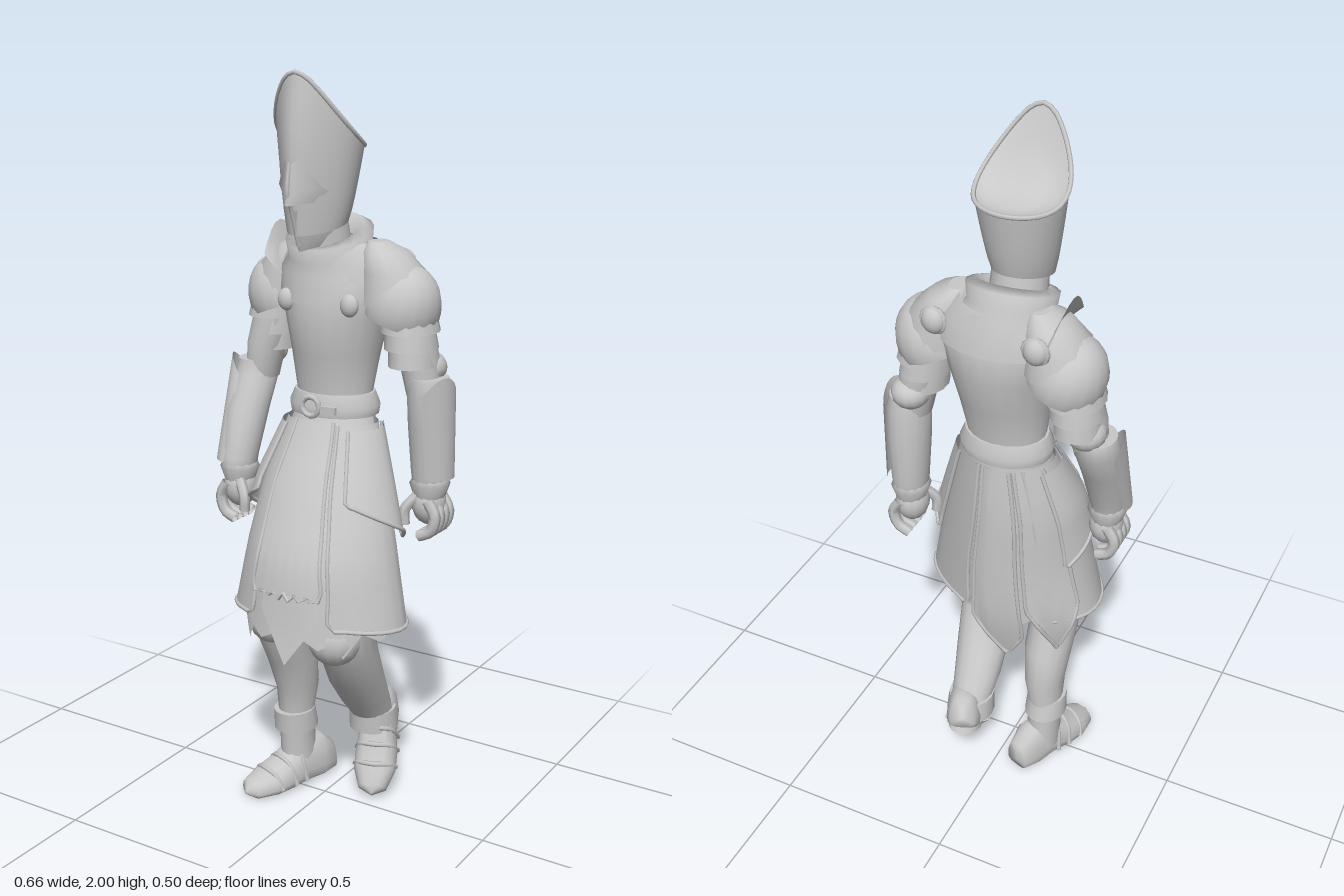
import * as THREE from 'three';

const steel = new THREE.MeshStandardMaterial({ color: 0xc8c8c8, side: THREE.DoubleSide });
steel.name = 'pale steel';
const { sin, cos, PI, abs, pow, max } = Math;
const lerp = THREE.MathUtils.lerp;

// grid surface from fn(u, v) -> [x, y, z]; closed joins the u ends
function sheet(fn, nu, nv, closed = false) {
  const pos = [], idx = [], cols = closed ? nu : nu + 1;
  for (let j = 0; j <= nv; j++)
    for (let i = 0; i < cols; i++) pos.push(...fn(i / nu, j / nv));
  for (let j = 0; j < nv; j++)
    for (let i = 0; i < nu; i++) {
      const k = (i + 1) % cols, a = j * cols + i, b = j * cols + k;
      idx.push(a, b, b + cols, a, b + cols, a + cols);
    }
  const g = new THREE.BufferGeometry();
  g.setAttribute('position', new THREE.Float32BufferAttribute(pos, 3));
  g.setIndex(idx);
  g.computeVertexNormals();
  return g;
}

// stacked ellipses [y, cx, cz, rx, rz], bottom to top; tilt lowers the front
function loft(rings, n = 16, caps = true, tilt = 0) {
  const end = r => [r[0], r[1], r[2], 0, 0];
  const f = rings[0], l = rings[rings.length - 1];
  const all = caps ? [end(f), f, ...rings, l, end(l)] : rings;
  return sheet((u, v) => {
    const [y, cx, cz, rx, rz] = all[Math.round(v * (all.length - 1))], a = u * 2 * PI;
    return [cx + rx * sin(a), y - tilt * cos(a), cz + rz * cos(a)];
  }, n, all.length - 1, true);
}

const tube = (pts, r, closed = false, n = 24) => new THREE.TubeGeometry(new THREE.CatmullRomCurve3(
  pts.map(p => new THREE.Vector3(...p)), closed, 'centripetal'), n, r, 6, closed);

// skirt surface, flaring downward and drawn in at the left rear
const skirtRings = [
  [0.43, 0.01, 0.06, 0.225, 0.175], [0.58, 0.015, 0.03, 0.25, 0.185], [0.76, 0.015, 0.02, 0.215, 0.18],
  [0.95, 0, -0.02, 0.175, 0.142], [1.08, 0, -0.05, 0.135, 0.105], [1.14, 0, -0.06, 0.115, 0.09]];
function skirtAt(a, y, off = 0) {
  let i = 0;
  while (i < skirtRings.length - 2 && y > skirtRings[i + 1][0]) i++;
  const p = skirtRings[i], q = skirtRings[i + 1], t = (y - p[0]) / (q[0] - p[0]);
  const [cx, cz, rx, rz] = [1, 2, 3, 4].map(k => lerp(p[k], q[k], t));
  const s = sin(a), c = cos(a), k = 1 - (s > 0 && c < 0 ? -0.3 * s * c : 0);
  return [cx + (rx * k + off) * s, y, cz + (rz * k + off) * c];
}

export function createModel() {
  const model = new THREE.Group();
  const add = (name, geo, x = 0, y = 0, z = 0, parent = model) => {
    const m = new THREE.Mesh(geo, steel);
    m.name = name;
    m.position.set(x, y, z);
    parent.add(m);
    return m;
  };
  const ball = (name, x, y, z, sx, sy, sz) => {
    const m = add(name, new THREE.SphereGeometry(1, 14, 10), x, y, z);
    m.scale.set(sx, sy, sz);
    return m;
  };

  // tall helmet with a keeled front, flaring up to a slanted crown with a peak
  const hx = -0.025, crownY = c => 1.81 + 0.185 * pow((c + 1) / 2, 2.8);
  const pinch = c => 1 - 0.2 * pow(max(0, c), 2);
  const crown = (a, s, drop) => {
    const c = s * cos(a);
    return [hx + 0.115 * s * sin(a) * pinch(c), crownY(c) - drop, -0.015 + 0.115 * c];
  };
  add('helmet', sheet((u, v) => {
    const a = u * 2 * PI, c = cos(a), [x, y, z] = crown(a, 1, 0), w = pow(v, 0.8);
    return [lerp(hx + 0.077 * sin(a) * pinch(c), x, w), lerp(1.615 - 0.02 * c, y, v),
      lerp(-0.005 + 0.09 * c + 0.015 * pow(max(0, c), 3), z, w) + 0.02 * sin(v * PI) * pow(max(0, c), 3)];
  }, 28, 6, true));
  add('helmetCrown', sheet((u, v) => crown(u * 2 * PI, 1 - v, v > 0 ? 0.015 : 0), 24, 4, true));
  add('helmetRim', tube(Array.from({ length: 20 }, (_, i) => crown(i * PI / 10, 1, 0)), 0.006, true, 40));

  // brow plate and pointed face guard; rows are [y, half width, side z, ridge z]
  const plate = rows => sheet((u, v) => {
    const [y, w, zs, zr] = rows[Math.round(v * (rows.length - 1))], k = u * 2 - 1;
    return [hx + w * k, y - 0.012 * (1 - abs(k)), lerp(zr, zs, pow(abs(k), 1.3))];
  }, 8, rows.length - 1);
  add('browPlate', plate([[1.685, 0.08, 0.02, 0.142], [1.72, 0.064, 0.076, 0.138], [1.785, 0.02, 0.118, 0.13]]));
  add('faceGuard', plate([[1.565, 0.035, 0.03, 0.08], [1.61, 0.064, 0.015, 0.1], [1.67, 0.076, 0.01, 0.118]]));
  add('visorRidge', tube([[hx, 1.57, 0.085], [hx, 1.66, 0.117], [hx, 1.7, 0.135], [hx, 1.78, 0.126]], 0.006));

  // neck, layered collar and shoulder mantle
  add('neck', loft([[1.44, -0.02, -0.05, 0.08, 0.08], [1.64, -0.025, -0.02, 0.07, 0.07]]));
  add('collar', loft([[1.45, -0.01, -0.07, 0.15, 0.13], [1.52, -0.015, -0.065, 0.14, 0.12],
    [1.55, -0.02, -0.06, 0.112, 0.105], [1.59, -0.02, -0.055, 0.118, 0.108], [1.6, -0.02, -0.055, 0.09, 0.085],
    [1.55, -0.02, -0.055, 0.07, 0.07]], 18, false, 0.035));
  add('mantle', loft([[1.46, 0, -0.08, 0.172, 0.122], [1.52, 0, -0.08, 0.165, 0.112], [1.57, -0.01, -0.075, 0.115, 0.1]], 20, false));

  // cuirass with a rounded chest and narrow waist
  add('cuirass', loft([[1.1, -0.005, -0.06, 0.115, 0.09], [1.17, -0.005, -0.06, 0.106, 0.085],
    [1.28, -0.003, -0.064, 0.122, 0.11], [1.38, 0, -0.067, 0.143, 0.131], [1.46, 0, -0.077, 0.165, 0.124],
    [1.53, 0, -0.08, 0.155, 0.1], [1.57, -0.01, -0.075, 0.09, 0.08]], 20));
  add('belt', loft([[1.115, -0.005, -0.06, 0.124, 0.1], [1.14, -0.005, -0.06, 0.128, 0.104],
    [1.175, -0.005, -0.06, 0.113, 0.092]], 20));
  add('buckle', new THREE.TorusGeometry(0.026, 0.008, 6, 12), -0.015, 1.145, 0.048);
  add('beltTongue', new THREE.BoxGeometry(0.05, 0.02, 0.012), 0.035, 1.14, 0.044);

  // skirt panels: sections of the skirt surface with their own hem and trim
  const panel = (name, a0, a1, top, hem, off, trim = true) => {
    const at = (u, v) => skirtAt(lerp(a0, a1, u), lerp(hem(u), top, v), off * (1.3 - v * 0.6));
    add(name, sheet(at, 12, 8));
    if (!trim) return;
    const edge = [];
    for (let i = 0; i <= 6; i++) edge.push(at(0, 1 - i / 6));
    for (let i = 1; i <= 12; i++) edge.push(at(i / 12, 0));
    for (let i = 1; i <= 6; i++) edge.push(at(1, i / 6));
    add(name + 'Trim', tube(edge, 0.006, false, 50));
  };
  const zig = (u, n) => abs(((u * n) % 1) * 2 - 1);
  add('underSkirt', sheet((u, v) => {
    const a = u * 2 * PI, hem = 0.57 + 0.05 * zig(u, 8) - 0.04 * max(0, cos(a));
    return skirtAt(a, lerp(hem, 1.13, v), -0.008);
  }, 64, 8, true));
  panel('frontTabard', -0.4, 0.42, 1.11, u => 0.67 + 0.02 * zig(u, 6), 0.022);
  panel('frontCloth', -0.3, 0.4, 0.8, u => 0.49 + 0.14 * abs(u * 2 - 1), 0.012, false);
  panel('backTail', PI - 0.15, PI + 0.4, 1.1, u => 0.44 + 0.14 * abs(u * 1.6 - 1), 0.01);
  panel('rightRearPanel', -2.0, -2.65, 1.1, u => 0.48 + 0.16 * abs(u * 2 - 1), 0.012);
  for (const [side, s, rear] of [['left', 1, 2.85], ['right', -1, 2.45]]) {
    panel(side + 'SkirtPanel', s * 0.5, s * rear, 1.1, u => 0.6 - 0.02 * sin(u * PI), 0.006);
    panel(side + 'Tasset', s * 0.7, s * 2.1, 1.09, u => 0.92 - 0.13 * u, 0.024);
    panel(side + 'PointedCloth', s * 0.45, s * 1.0, 0.8, u => 0.51 + 0.1 * abs(u * 2 - 1), -0.012, false);
  }

  // arms: ze and zw place the elbow and the wrist
  for (const [side, s, zs, ze, zw] of [['left', 1, -0.075, -0.095, -0.11], ['right', -1, -0.1, -0.07, 0.025]]) {
    const X = x => s * x;
    const dome = add(side + 'Pauldron', new THREE.SphereGeometry(1, 16, 8, 0, 2 * PI, 0, PI * 0.58), X(0.187), 1.405, zs);
    dome.scale.set(0.1, 0.118, 0.104);
    dome.rotation.z = X(-0.35);
    add(side + 'ShoulderYoke', loft([[1.42, X(0.17), zs, 0.095, 0.098], [1.5, X(0.16), zs, 0.085, 0.09],
      [1.55, X(0.135), zs, 0.055, 0.07], [1.575, X(0.115), zs, 0.025, 0.035]], 14));
    for (let i = 0; i < 3; i++) // overlapping lames
      add(side + 'ArmLame', loft([[1.35 - i * 0.045, X(0.213 + i * 0.004), zs, 0.075 - i * 0.007, 0.09 - i * 0.008],
        [1.42 - i * 0.045, X(0.205 + i * 0.005), zs, 0.065 - i * 0.005, 0.08 - i * 0.006]], 14, false));
    add(side + 'UpperArm', loft([[1.18, X(0.245), ze, 0.045, 0.05], [1.28, X(0.228), ze, 0.053, 0.06],
      [1.42, X(0.2), zs, 0.06, 0.07]]));
    ball(side + 'ElbowGuard', X(0.24), 1.25, ze - 0.025, 0.052, 0.045, 0.055);
    add(side + 'Vambrace', loft([[0.93, X(0.26), zw, 0.043, 0.05], [0.97, X(0.26), zw, 0.05, 0.056],
      [1.1, X(0.262), lerp(zw, ze, 0.5), 0.058, 0.066], [1.19, X(0.262), ze, 0.058, 0.068],
      [1.23, X(0.26), ze, 0.05, 0.06]]));
    add(side + 'VambraceFin', sheet((u, v) => {
      const a = s * lerp(0.2, 2.1, u), k = lerp(1.05, 1.1, v);
      return [X(0.263) + 0.06 * k * sin(a), lerp(0.96, 1.19 + 0.05 * sin(u * PI), v),
        lerp(zw, ze, v) + lerp(0.056, 0.066, v) * k * cos(a)];
    }, 10, 4));
    add(side + 'Cuff', loft([[0.9, X(0.26), zw, 0.04, 0.045], [0.94, X(0.26), zw, 0.054, 0.058],
      [0.955, X(0.26), zw, 0.046, 0.052]], 12));
    ball(side + 'Palm', X(0.258), 0.885, zw, 0.046, 0.06, 0.05);
    for (let i = 0; i < 4; i++) {
      const z = zw + (i - 1.5) * 0.026;
      add(side + 'Finger', tube([[X(0.275), 0.9, z], [X(0.297), 0.86, z], [X(0.283), 0.815, z], [X(0.25), 0.8, z]], 0.016, false, 8));
    }
    add(side + 'Thumb', tube([[X(0.24), 0.91, zw + 0.03], [X(0.212), 0.87, zw + 0.05], [X(0.212), 0.83, zw + 0.05]], 0.015, false, 8));
    // rosettes at the back of the shoulder and clasps on the chest
    ball(side + 'Rosette', X(0.142), 1.51, zs - 0.088, 0.032, 0.036, 0.025);
    add(side + 'RosetteRing', new THREE.TorusGeometry(0.03, 0.009, 6, 12), X(0.142), 1.51, zs - 0.088);
    ball(side + 'Clasp', X(0.095), 1.42, 0.035, 0.026, 0.03, 0.018);
  }
  // raised guard plate on the right shoulder
  add('neckGuard', sheet((u, v) => [-0.125 - 0.05 * v - 0.015 * sin(u * PI),
    lerp(1.48, 1.53 + 0.08 * sin(u * PI), v), lerp(-0.18, 0.02, u)], 8, 3));

  // legs: the right one is planted, the left one trails with its heel raised
  const legs = {
    left: [[0.15, 0.082, -0.17, 0.05, 0.055], [0.21, 0.082, -0.135, 0.055, 0.062], [0.28, 0.082, -0.087, 0.066, 0.076],
      [0.37, 0.092, -0.02, 0.075, 0.085], [0.47, 0.108, 0.045, 0.073, 0.092], [0.57, 0.108, 0.09, 0.08, 0.1],
      [0.75, 0.095, 0.05, 0.09, 0.1], [1.05, 0.06, -0.04, 0.065, 0.085]],
    right: [[0.05, -0.11, -0.04, 0.05, 0.06], [0.2, -0.115, -0.03, 0.046, 0.055], [0.3, -0.11, -0.03, 0.057, 0.068],
      [0.4, -0.108, 0, 0.068, 0.078], [0.5, -0.11, 0.045, 0.07, 0.085], [0.58, -0.105, 0.065, 0.078, 0.092],
      [0.75, -0.09, 0.04, 0.09, 0.1], [1.05, -0.06, -0.04, 0.065, 0.085]] };
  // foot rows along z: [z, half width, base, top]
  const footRows = [[-0.105, 0, 0.03, 0.05], [-0.1, 0.036, 0.005, 0.09], [-0.05, 0.05, 0, 0.135], [0.01, 0.05, 0, 0.135],
    [0.075, 0.06, 0, 0.09], [0.13, 0.06, 0, 0.066], [0.185, 0.04, 0, 0.045], [0.205, 0, 0.01, 0.02]];
  for (const [side, knee, at, turn, pitch] of [['left', [0.108, 0.545, 0.125], [0.08, 0.14, -0.18], 0.36, 0.72],
    ['right', [-0.11, 0.545, 0.085], [-0.105, 0, -0.045], -0.34, 0]]) {
    add(side + 'Leg', loft(legs[side]));
    ball(side + 'KneeGuard', ...knee, 0.075, 0.075, 0.07);
    const r = legs[side][1];
    add(side + 'AnkleBand', loft([[r[0] - 0.03, r[1], r[2], r[3] + 0.014, r[4] + 0.014],
      [r[0] + 0.03, r[1], r[2] + 0.01, r[3] + 0.01, r[4] + 0.01]]));
    const foot = new THREE.Group();
    foot.name = side + 'Foot';
    foot.position.set(...at);
    foot.rotation.set(pitch, turn, 0, 'YXZ');
    add(side + 'Boot', sheet((u, v) => {
      const [z, w, b, t] = footRows[Math.round(v * 7)], a = -u * 2 * PI, c = cos(a);
      return [w * Math.sign(sin(a)) * pow(abs(sin(a)), 0.7), lerp(b, t, c > 0 ? 0.3 + 0.7 * c : 0.3 * (1 - pow(-c, 0.5))), z];
    }, 16, 7, true), 0, 0, 0, foot);
    for (const [z, w, h] of [[0.035, 0.055, 0.117], [0.075, 0.06, 0.09], [0.125, 0.06, 0.068]])
      add(side + 'BootPlate', tube([[-w, 0.015, z - 0.01], [-w * 0.7, h * 0.8, z], [0, h, z + 0.008],
        [w * 0.7, h * 0.8, z], [w, 0.015, z - 0.01]], 0.007, false, 14), 0, 0, 0, foot);
    model.add(foot);
  }
  return model;
}
